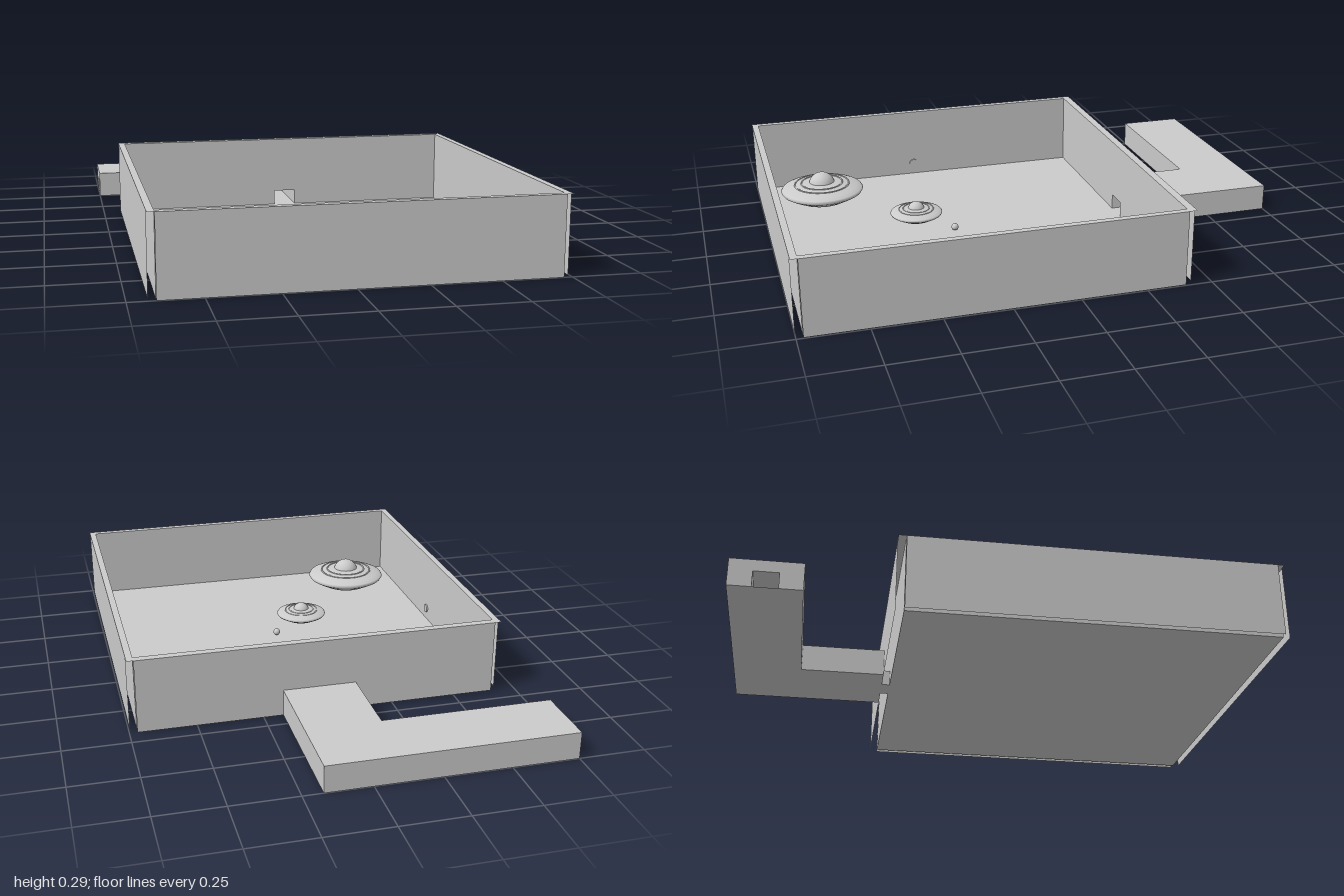
import * as THREE from 'three';

const grey = new THREE.MeshStandardMaterial({ color: 0xcccccc, side: THREE.DoubleSide });

// Room limits: inner shell, outer shell, height
const IN = { x0: -0.655, x1: 0.72, z0: -0.4, z1: 0.975 };
const OUT = { x0: -0.68, x1: 0.745, z0: -0.43, z1: 1.0 };
const H = 0.287;
// Doorway and corridor
const DOOR = { x0: -0.01, x1: 0.08, h: 0.06 };
const HALL = { z0: -0.917, z1: -0.828 };

function add(parent, name, geometry, x = 0, y = 0, z = 0) {
  const mesh = new THREE.Mesh(geometry, grey);
  mesh.name = name;
  mesh.position.set(x, y, z);
  parent.add(mesh);
  return mesh;
}

const polygon = (points) => new THREE.Shape(points.map(([x, y]) => new THREE.Vector2(x, y)));
const rect = (b) => [[b.x0, b.z0], [b.x1, b.z0], [b.x1, b.z1], [b.x0, b.z1]];

// Flat or extruded plan drawn in (x, z), facing up
function plan(points, depth, hole) {
  const flip = (list) => list.map(([x, z]) => [x, -z]);
  const shape = polygon(flip(points));
  if (hole) shape.holes.push(polygon(flip(hole)));
  const g = depth
    ? new THREE.ExtrudeGeometry(shape, { depth, bevelEnabled: false })
    : new THREE.ShapeGeometry(shape);
  return g.rotateX(-Math.PI / 2);
}

// Upright back panel with the doorway cut out of its lower edge
function doorPanel() {
  return new THREE.ShapeGeometry(polygon([
    [IN.x0, 0], [DOOR.x0, 0], [DOOR.x0, DOOR.h], [DOOR.x1, DOOR.h],
    [DOOR.x1, 0], [IN.x1, 0], [IN.x1, H], [IN.x0, H],
  ]));
}

function makeRoom() {
  const room = new THREE.Group();
  room.name = 'room';
  const w = IN.x1 - IN.x0, d = IN.z1 - IN.z0;
  const cx = (IN.x0 + IN.x1) / 2, cz = (IN.z0 + IN.z1) / 2;
  add(room, 'floor', plan(rect(IN)));
  add(room, 'topRim', plan(rect(OUT), 0, rect(IN)), 0, H, 0);

  // Double shell: the outer panels stop short of the corners
  for (const [label, b] of [['inner', IN], ['outer', OUT]]) {
    add(room, label + 'FrontWall', new THREE.PlaneGeometry(w, H), cx, H / 2, b.z1);
    add(room, label + 'BackWall', doorPanel(), 0, 0, b.z0);
    for (const [side, x] of [['Right', b.x0], ['Left', b.x1]]) {
      add(room, label + side + 'Wall', new THREE.PlaneGeometry(d, H).rotateY(Math.PI / 2), x, H / 2, cz);
    }
  }

  // Doorway lining between the two shells
  const depth = IN.z0 - OUT.z0, dz = (IN.z0 + OUT.z0) / 2;
  const dx = (DOOR.x0 + DOOR.x1) / 2, dw = DOOR.x1 - DOOR.x0;
  for (const x of [DOOR.x0, DOOR.x1]) {
    add(room, 'doorJamb', new THREE.PlaneGeometry(depth, DOOR.h).rotateY(Math.PI / 2), x, DOOR.h / 2, dz);
  }
  for (const y of [0, DOOR.h]) {
    add(room, 'doorLining', new THREE.PlaneGeometry(dw, depth).rotateX(-Math.PI / 2), dx, y, dz);
  }

  // Small round button on the right wall
  add(room, 'wallButton', new THREE.CylinderGeometry(0.018, 0.018, 0.006, 20).rotateZ(Math.PI / 2),
    IN.x0 + 0.003, 0.048, 0.308);
  return room;
}

function makeTunnel() {
  const tunnel = new THREE.Group();
  tunnel.name = 'tunnel';
  const x0 = -0.75, x1 = 0.175, xs = -0.105, zb = -1, za = -0.745, zf = OUT.z0;
  const outline = [[x0, zb], [x1, zb], [x1, zf], [xs, zf], [xs, za], [x0, za]];

  // Walls either side of the bent corridor
  add(tunnel, 'tunnelOuterWall', plan([
    [x0, zb], [x1, zb], [x1, zf], [DOOR.x1, zf], [DOOR.x1, HALL.z0], [x0, HALL.z0],
  ], DOOR.h));
  add(tunnel, 'tunnelInnerWall', plan([
    [DOOR.x0, zf], [xs, zf], [xs, za], [x0, za], [x0, HALL.z1], [DOOR.x0, HALL.z1],
  ], DOOR.h));
  add(tunnel, 'tunnelFloor', plan(outline));
  add(tunnel, 'tunnelRoof', plan(outline, 0.103 - DOOR.h), 0, DOOR.h, 0);
  return tunnel;
}

// Round saucer with ridged rings and a ball in the middle
function makeSaucer(radius, x, z) {
  const saucer = new THREE.Group();
  saucer.name = 'saucer';
  const profile = [
    [0, 0], [0.3, 0.03], [0.6, 0.14], [0.85, 0.27], [0.97, 0.34], [1, 0.39],
    [0.97, 0.43], [0.85, 0.48], [0.66, 0.53], [0.5, 0.56], [0.3, 0.59], [0, 0.6],
  ].map(([r, y]) => new THREE.Vector2(r * radius, y * radius));
  add(saucer, 'saucerBody', new THREE.LatheGeometry(profile, 40));
  for (const [r, y] of [[0.66, 0.53], [0.5, 0.56]]) {
    add(saucer, 'saucerRing',
      new THREE.TorusGeometry(r * radius, 0.02 * radius, 8, 40).rotateX(Math.PI / 2), 0, y * radius, 0);
  }
  add(saucer, 'saucerDome', new THREE.SphereGeometry(0.32 * radius, 28, 18), 0, 0.5 * radius, 0);
  saucer.position.set(x, 0, z);
  return saucer;
}

export function createModel() {
  const model = new THREE.Group();
  model.name = 'roomWithTunnel';
  model.add(makeRoom(), makeTunnel());
  model.add(makeSaucer(0.17, -0.41, 0.75), makeSaucer(0.105, -0.108, 0.412));
  add(model, 'smallBall', new THREE.SphereGeometry(0.014, 20, 14), 0.032, 0.018, 0.285);
  return model;
}
